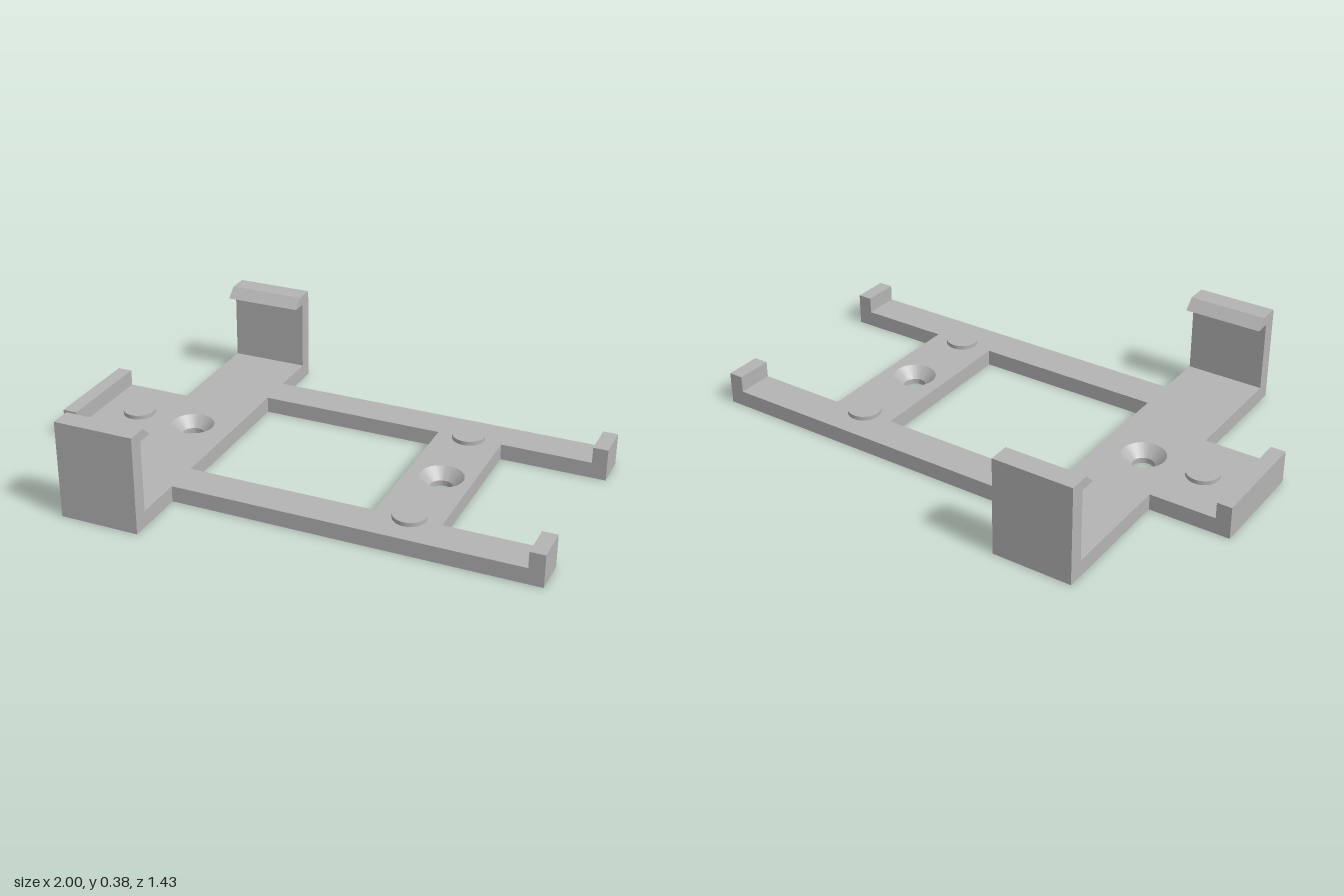
import * as THREE from 'three';
import { toCreasedNormals } from 'three/addons/utils/BufferGeometryUtils.js';

const T = 0.062;            // plate thickness
const LIP_TOP = 0.125;
const PAD_TOP = 0.078;
const HOLE_R = 0.083, BORE_R = 0.042;
const HOLES_X = [-0.55, 0.473];

export function createModel() {
  const model = new THREE.Group();
  model.name = 'mountingBracket';
  const grey = new THREE.MeshStandardMaterial({ color: 0xb4b4b4 });
  grey.name = 'grey plastic';

  const add = (name, geometry, parent = model) => {
    const mesh = new THREE.Mesh(geometry, grey);
    mesh.name = name;
    parent.add(mesh);
    return mesh;
  };
  const points = (list) => list.map(([x, y]) => new THREE.Vector2(x, y));

  // Base plate: half outline mirrored across z = 0
  const half = [
    [-1, 0.207], [-0.69, 0.207], [-0.69, 0.715], [-0.385, 0.715], [-0.385, 0.464],
    [1, 0.464], [1, 0.322], [0.593, 0.322],
  ];
  const outline = [...half, ...half.map(([x, z]) => [x, -z]).reverse()];
  const plate = new THREE.Shape(points(outline));
  plate.holes.push(new THREE.Path(points([
    [-0.385, -0.322], [0.342, -0.322], [0.342, 0.322], [-0.385, 0.322],
  ])));
  for (const x of HOLES_X) {
    plate.holes.push(new THREE.Path().absarc(x, 0, HOLE_R, 0, Math.PI * 2, true));
  }
  const plateGeo = new THREE.ExtrudeGeometry(plate, { depth: T, bevelEnabled: false, curveSegments: 48 });
  plateGeo.rotateX(-Math.PI / 2);
  add('basePlate', plateGeo);

  // Countersunk screw holes: cone, short bore and underside ring
  const sink = toCreasedNormals(new THREE.LatheGeometry(points([
    [HOLE_R, T], [BORE_R, T - HOLE_R + BORE_R], [BORE_R, 0], [HOLE_R, 0],
  ]), 48), 0.6);
  for (const x of HOLES_X) add('screwHole', sink).position.x = x;

  // Round support pads
  const padGeo = new THREE.CylinderGeometry(0.062, 0.062, PAD_TOP - T, 48);
  for (const [x, z] of [[-0.787, 0], [0.463, -0.322], [0.473, 0.322]]) {
    add('supportPad', padGeo).position.set(x, (T + PAD_TOP) / 2, z);
  }

  // Low end lips on the tab and both arms
  const lip = (name, x, z, width) => {
    add(name, new THREE.BoxGeometry(0.057, LIP_TOP - T, width))
      .position.set(x, (T + LIP_TOP) / 2, z);
  };
  lip('tabLip', -0.9715, 0, 0.414);
  for (const side of [1, -1]) lip('armLip', 0.9715, side * 0.393, 0.142);

  // Tall snap clips with a hooked, chamfered top
  const clip = new THREE.Shape(points([
    [0.657, T], [0.715, T], [0.715, 0.375], [0.635, 0.375], [0.596, 0.336], [0.657, 0.336],
  ]));
  const clipWidth = 0.305;
  const clipGeo = new THREE.ExtrudeGeometry(clip, { depth: clipWidth, bevelEnabled: false });
  clipGeo.translate(0, 0, -clipWidth / 2).rotateY(-Math.PI / 2);
  for (const [name, turn] of [['frontClip', 0], ['backClip', Math.PI]]) {
    const mesh = add(name, clipGeo);
    mesh.position.x = -0.5375;
    mesh.rotation.y = turn;
  }

  return model;
}
